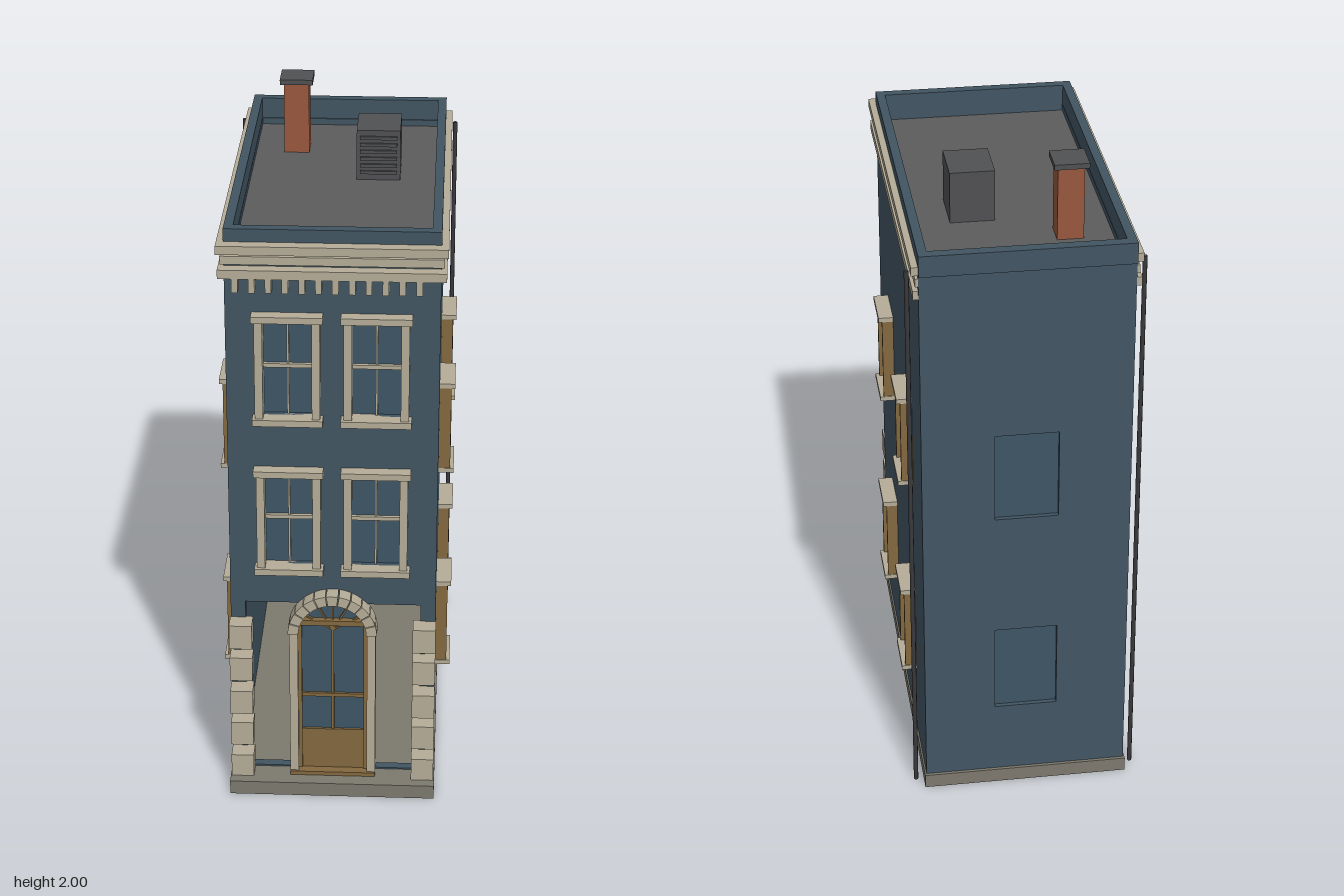
import * as THREE from 'three';

const mat = (name, color) => {
  const m = new THREE.MeshStandardMaterial({ color });
  m.name = name;
  return m;
};

export function createModel() {
  const house = new THREE.Group();
  house.name = 'townhouse';
  const M = {
    wall: mat('blue wall', 0x425563),
    glass: mat('window glass', 0x3e5565),
    trim: mat('beige stone', 0xb5ad98),
    base: mat('grey stone', 0x7d796e),
    roof: mat('roofing', 0x5c5c5c),
    wood: mat('brown wood', 0x83683f),
    brick: mat('brick', 0x98583f),
    metal: mat('grey metal', 0x505153),
    pipe: mat('dark pipe', 0x3a3a3d),
  };

  const group = (name, parent = house) => {
    const g = new THREE.Group();
    g.name = name;
    parent.add(g);
    return g;
  };
  const add = (parent, name, geo, material) => {
    const m = new THREE.Mesh(geo, material);
    m.name = name;
    parent.add(m);
    return m;
  };
  // box given by its limits on each axis
  const box = (parent, name, material, x0, x1, y0, y1, z0, z1) => {
    const m = add(parent, name, new THREE.BoxGeometry(x1 - x0, y1 - y0, z1 - z0), material);
    m.position.set((x0 + x1) / 2, (y0 + y1) / 2, (z0 + z1) / 2);
    return m;
  };
  const rect = (path, x0, x1, y0, y1) => {
    path.moveTo(x0, y0);
    path.lineTo(x1, y0);
    path.lineTo(x1, y1);
    path.lineTo(x0, y1);
    path.closePath();
    return path;
  };
  // wall facing z, with rectangular openings
  const piercedWall = (name, z, holes) => {
    const shape = rect(new THREE.Shape(), -W, W, 0.045, 1.78);
    for (const h of holes) shape.holes.push(rect(new THREE.Path(), ...h));
    const geo = new THREE.ExtrudeGeometry(shape, { depth: T, bevelEnabled: false });
    add(house, name, geo, M.wall).position.z = z;
  };

  const W = 0.31, T = 0.028, FRONT = 0.54, BACK = -0.62;

  // Foundation and walls
  box(house, 'foundation', M.base, -0.315, 0.315, 0, 0.045, -0.63, 0.63);
  const frontOpenings = [];
  for (const x of [-0.13, 0.128])
    for (const y of [0.77, 1.265]) frontOpenings.push([x - 0.08, x + 0.08, y, y + 0.31]);
  const backOpenings = [0.28, 0.96].map((y) => [-0.095, 0.095, y, y + 0.285]);
  piercedWall('frontWall', FRONT - T, [...frontOpenings, [-0.265, 0.265, 0.05, 0.635]]);
  piercedWall('backWall', BACK, backOpenings);
  for (const s of [-1, 1]) {
    const x = s * (W - T / 2);
    box(house, 'sideWall', M.wall, x - T / 2, x + T / 2, 0.045, 1.78, BACK + T, FRONT - T);
  }

  // Roof and parapet
  box(house, 'roof', M.roof, -0.284, 0.284, 1.73, 1.76, -0.6, 0.512);
  const rim = rect(new THREE.Shape(), -W, W, -0.543, 0.63);
  rim.holes.push(rect(new THREE.Path(), -0.283, 0.283, -0.511, 0.597));
  const rimGeo = new THREE.ExtrudeGeometry(rim, { depth: 0.065, bevelEnabled: false });
  rimGeo.rotateX(-Math.PI / 2);
  add(house, 'parapet', rimGeo, M.wall).position.y = 1.78;

  // Cornice bands wrap the front and both sides
  const cornice = group('cornice');
  for (const [y0, y1, x, z] of [[1.78, 1.806, 0.33, 0.58], [1.745, 1.77, 0.319, 0.565], [1.705, 1.732, 0.326, 0.577]]) {
    box(cornice, 'frontBand', M.trim, -x, x, y0, y1, FRONT, z);
    box(cornice, 'leftBand', M.trim, W, x, y0, y1, -0.617, FRONT);
    box(cornice, 'rightBand', M.trim, -x, -W, y0, y1, -0.617, FRONT);
  }
  for (let i = 0; i < 12; i++) {
    const x = -0.277 + i * 0.0478;
    box(cornice, 'dentil', M.trim, x - 0.009, x + 0.009, 1.662, 1.705, FRONT, 0.575);
  }

  // Front windows
  for (const [x0, x1, y0, y1] of frontOpenings) {
    const g = group('frontWindow');
    const c = (x0 + x1) / 2, m = (y0 + y1) / 2;
    box(g, 'pane', M.glass, x0, x1, y0, y1, 0.518, 0.524);
    box(g, 'meetingRail', M.trim, x0, x1, m - 0.006, m + 0.006, 0.524, 0.536);
    box(g, 'mullion', M.trim, c - 0.003, c + 0.003, y0, y1, 0.524, 0.532);
    for (const s of [-1, 1])
      box(g, 'jamb', M.trim, c + s * 0.083 - 0.012, c + s * 0.083 + 0.012, y0, y1, 0.524, 0.572);
    box(g, 'sill', M.trim, c - 0.103, c + 0.103, y0 - 0.02, y0, 0.52, 0.583);
    box(g, 'lintel', M.trim, c - 0.103, c + 0.103, y1 - 0.005, y1 + 0.015, 0.52, 0.58);
  }

  // Back windows, set into the wall
  for (const [x0, x1, y0, y1] of backOpenings)
    box(house, 'backPane', M.glass, x0, x1, y0, y1, BACK + 0.014, BACK + 0.02);

  // Side windows with wooden jambs, and drainpipes
  for (const s of [-1, 1]) {
    const side = group(s > 0 ? 'leftSide' : 'rightSide');
    const sideBox = (name, m, a, b, ...rest) =>
      box(side, name, m, Math.min(s * a, s * b), Math.max(s * a, s * b), ...rest);
    for (const z of [0.21, -0.307])
      for (const y of [0.28, 0.96]) {
        sideBox('pane', M.glass, W, 0.313, y + 0.01, y + 0.28, z - 0.065, z + 0.065);
        for (const e of [-1, 1])
          sideBox('jamb', M.wood, W, 0.345, y + 0.012, y + 0.28, z + e * 0.069 - 0.006, z + e * 0.069 + 0.006);
        sideBox('sill', M.trim, W, 0.356, y - 0.003, y + 0.012, z - 0.077, z + 0.077);
        sideBox('lintel', M.trim, W, 0.356, y + 0.28, y + 0.295, z - 0.077, z + 0.077);
      }
    const pipe = add(side, 'drainpipe', new THREE.CylinderGeometry(0.007, 0.007, 1.78, 8), M.pipe);
    pipe.position.set(s * 0.339, 0.89, -0.581);

    // Corner stones
    for (let i = 0; i < 5; i++) {
      const y = 0.08 + i * 0.115;
      sideBox('cornerStone', M.trim, 0.243, 0.312, y - 0.04, y + 0.04, 0.535, i % 2 ? 0.592 : 0.597);
    }
  }

  // Entrance: stone surround with an arch of wedge stones
  const door = group('entrance');
  const SPRING = 0.55;
  for (const s of [-1, 1])
    box(door, 'stoneJamb', M.trim, s * 0.118 - 0.013, s * 0.118 + 0.013, 0.045, SPRING, 0.53, 0.578);
  const N = 11;
  for (let i = 0; i < N; i++) {
    const a = (Math.PI * (i + 0.04)) / N, b = (Math.PI * (i + 0.96)) / N;
    const stone = new THREE.Shape();
    stone.absarc(0, 0, 0.135, a, b, false);
    stone.absarc(0, 0, 0.103, b, a, true);
    const geo = new THREE.ExtrudeGeometry(stone, { depth: 0.06, bevelEnabled: false, curveSegments: 2 });
    add(door, 'archStone', geo, M.trim).position.set(0, SPRING, 0.53);
  }

  // Door leaf
  box(door, 'threshold', M.wood, -0.13, 0.13, 0.045, 0.058, 0.53, 0.585);
  box(door, 'doorGlass', M.glass, -0.1, 0.1, 0.19, 0.575, 0.542, 0.548);
  box(door, 'kickPanel', M.wood, -0.1, 0.1, 0.058, 0.197, 0.538, 0.556);
  box(door, 'lockRail', M.wood, -0.1, 0.1, 0.314, 0.326, 0.54, 0.556);
  box(door, 'centreBar', M.wood, -0.004, 0.004, 0.197, 0.575, 0.54, 0.554);
  box(door, 'transom', M.wood, -0.105, 0.105, 0.57, 0.587, 0.535, 0.565);
  for (const s of [-1, 1])
    box(door, 'stile', M.wood, s * 0.1 - 0.006, s * 0.1 + 0.006, 0.058, 0.575, 0.535, 0.56);

  // Fanlight
  const fan = add(door, 'fanGlass', new THREE.CircleGeometry(0.104, 24, 0, Math.PI), M.glass);
  fan.material.side = THREE.DoubleSide;
  fan.position.set(0, SPRING, 0.545);
  for (let i = 1; i < 6; i++) {
    const a = (Math.PI * i) / 6;
    const ray = add(door, 'fanBar', new THREE.BoxGeometry(0.1, 0.005, 0.008), M.wood);
    ray.position.set(Math.cos(a) * 0.053, SPRING + Math.sin(a) * 0.053, 0.55);
    ray.rotation.z = a;
  }

  // Chimney and roof unit
  box(house, 'chimney', M.brick, -0.194, -0.116, 1.76, 1.985, -0.408, -0.328);
  box(house, 'chimneyCap', M.metal, -0.206, -0.104, 1.984, 2, -0.42, -0.317);
  const unit = group('roofUnit');
  box(unit, 'casing', M.metal, 0.042, 0.175, 1.76, 1.918, -0.255, -0.095);
  for (let i = 0; i < 6; i++) {
    const y = 1.785 + i * 0.022;
    box(unit, 'louvre', M.metal, 0.052, 0.165, y - 0.005, y + 0.005, -0.095, -0.088);
  }
  return house;
}
